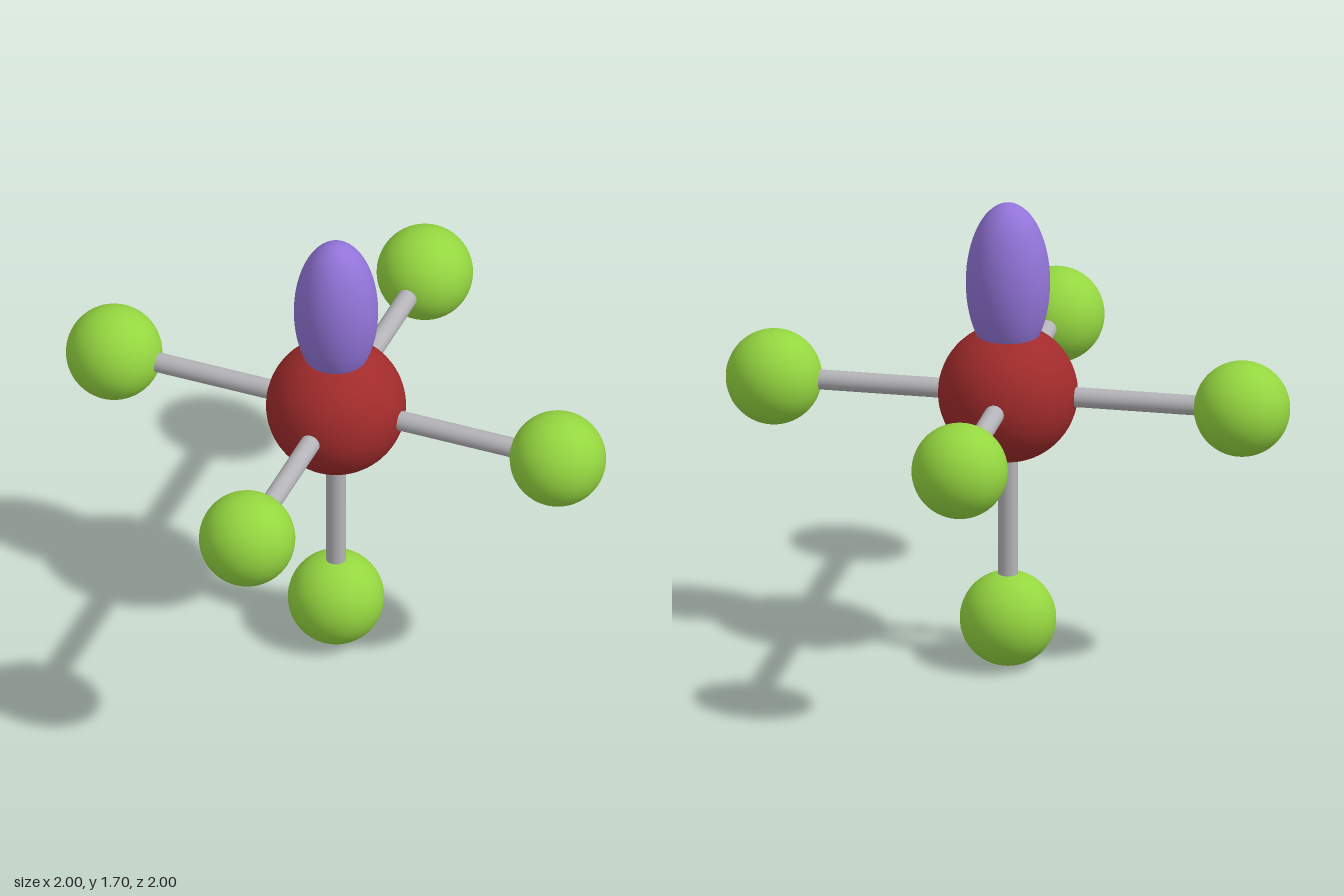
import * as THREE from 'three';

const CENTRE_Y = 1;
const BOND = 0.832; // centre-to-centre distance
const OUTER_R = 0.168;

export function createModel() {
  const model = new THREE.Group();
  model.name = 'moleculeModel';

  const material = (name, color) => {
    const m = new THREE.MeshStandardMaterial({ color });
    m.name = name;
    return m;
  };
  const red = material('dark red', 0xa12b2b);
  const green = material('lime green', 0x94d640);
  const grey = material('rod grey', 0xb4b4b8);
  const purple = material('lobe purple', 0x9274d8);

  const add = (name, geometry, mat, position) => {
    const mesh = new THREE.Mesh(geometry, mat);
    mesh.name = name;
    mesh.position.copy(position);
    model.add(mesh);
    return mesh;
  };

  // Central atom
  const centre = new THREE.Vector3(0, CENTRE_Y, 0);
  add('centralAtom', new THREE.SphereGeometry(0.244, 48, 32), red, centre);

  // Lone pair: an upright ellipsoid partly sunk into the central atom
  const lobe = new THREE.SphereGeometry(1, 48, 32).scale(0.147, 0.29, 0.147);
  add('lonePairLobe', lobe, purple, new THREE.Vector3(0, 1.408, 0));

  // Five outer atoms, each joined to the centre by a rod
  const atom = new THREE.SphereGeometry(OUTER_R, 48, 32);
  const rod = new THREE.CylinderGeometry(0.035, 0.035, BOND, 24);
  const up = new THREE.Vector3(0, 1, 0);
  const directions = {
    left: [1, 0, 0],
    right: [-1, 0, 0],
    front: [0, 0, 1],
    back: [0, 0, -1],
    bottom: [0, -1, 0],
  };
  for (const [side, d] of Object.entries(directions)) {
    const dir = new THREE.Vector3(...d);
    add(side + 'Atom', atom, green, centre.clone().addScaledVector(dir, BOND));
    const bond = add(side + 'Rod', rod, grey, centre.clone().addScaledVector(dir, BOND / 2));
    bond.quaternion.setFromUnitVectors(up, dir);
  }

  return model;
}
